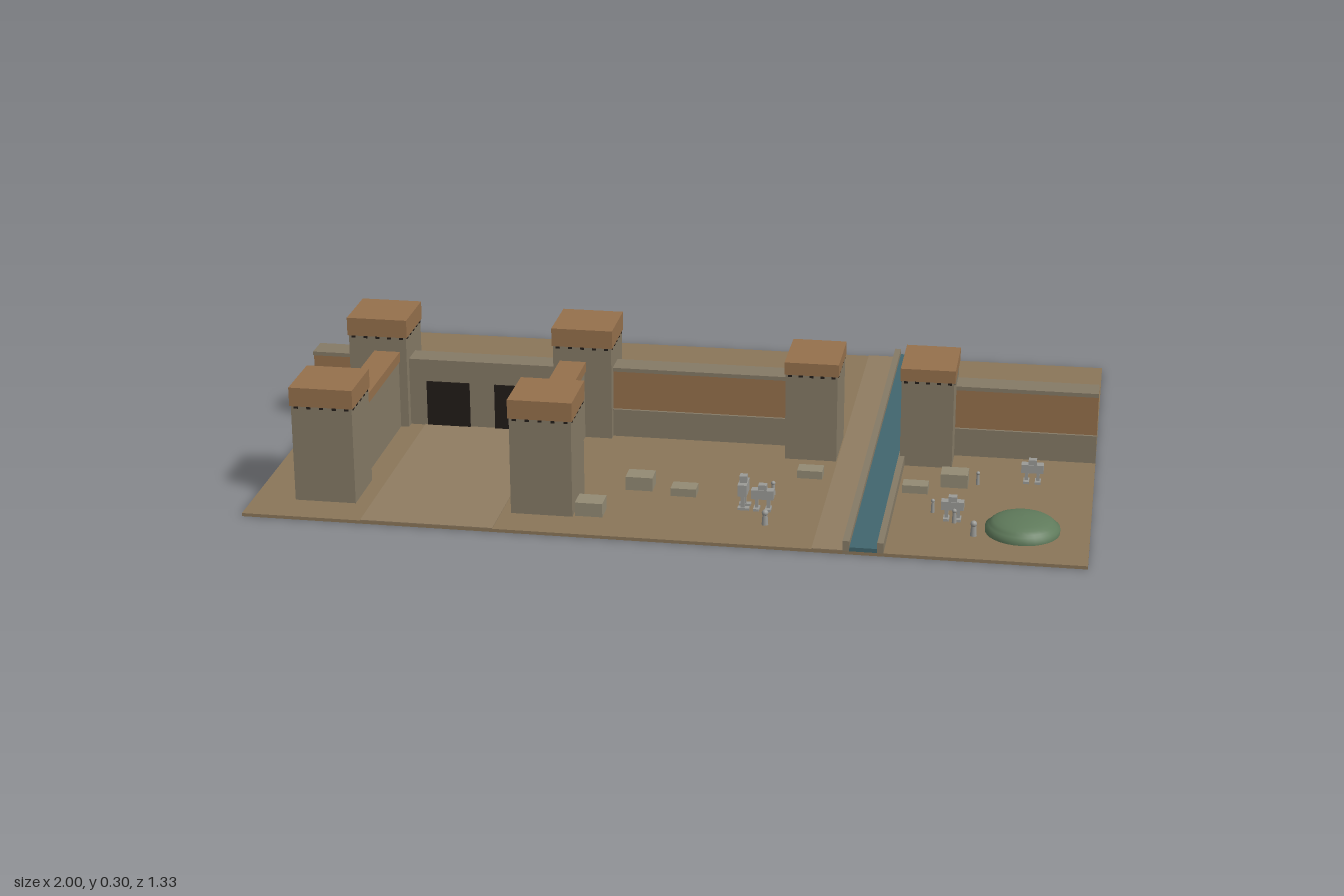
import * as THREE from 'three';

const mat = (color) => new THREE.MeshStandardMaterial({ color });
const M = {
  ground: mat(0x8a7659), path: mat(0x8f7c61), stone: mat(0x857a66), clay: mat(0x95704c),
  water: mat(0x41666e), dark: mat(0x221c18), dome: mat(0x5f7a5b), crate: mat(0x938a74), metal: mat(0x9a9a96),
};
const G = 0.008; // top of the ground slab

// Box given by its limits on each axis
function box(parent, name, m, x0, x1, y0, y1, z0, z1) {
  const mesh = new THREE.Mesh(new THREE.BoxGeometry(x1 - x0, y1 - y0, z1 - z0), m);
  mesh.position.set((x0 + x1) / 2, (y0 + y1) / 2, (z0 + z1) / 2);
  mesh.name = name;
  parent.add(mesh);
}

function group(parent, name) {
  const g = new THREE.Group();
  g.name = name;
  parent.add(g);
  return g;
}

// Square tower with a clay cap and a row of beam ends under it
function tower(parent, name, x0, x1, z0, z1, capY, top) {
  const g = group(parent, name), o = 0.003;
  box(g, 'towerBody', M.stone, x0 + o, x1 - o, 0, capY, z0 + o, z1 - o);
  box(g, 'towerCap', M.clay, x0, x1, capY, top, z0, z1);
  const n = 5, s = 0.005;
  for (let i = 0; i < n; i++) {
    const t = (i + 0.5) / n;
    const x = x0 + (x1 - x0) * t, z = z0 + (z1 - z0) * t;
    box(g, 'beamEndsAcross', M.dark, x - s, x + s, capY - 0.006, capY, z0 + 0.001, z1 - 0.001);
    box(g, 'beamEndsAlong', M.dark, x0 + 0.001, x1 - 0.001, capY - 0.006, capY, z - s, z + s);
  }
}

// Long wall: wide stone base, recessed clay face, thin stone coping
function longWall(parent, x0, x1) {
  const g = group(parent, 'longWall');
  box(g, 'wallBase', M.stone, x0, x1, 0, 0.08, -0.035, 0.032);
  box(g, 'wallFace', M.clay, x0, x1, 0.08, 0.182, -0.027, 0.025);
  box(g, 'wallCoping', M.stone, x0, x1, 0.182, 0.192, -0.035, 0.032);
}

// Small upright machine: feet, legs, body and head
function machine(parent, x, z, h, turn = 0) {
  const g = group(parent, 'machine');
  g.position.set(x, G, z);
  g.rotation.y = turn;
  for (const s of [-1, 1]) {
    box(g, 'foot', M.metal, s * 0.014 - 0.007, s * 0.014 + 0.007, 0, 0.006, -0.012, 0.016);
    box(g, 'leg', M.metal, s * 0.014 - 0.004, s * 0.014 + 0.004, 0.006, h * 0.5, -0.005, 0.005);
  }
  box(g, 'body', M.metal, -0.027, 0.027, h * 0.45, h * 0.8, -0.011, 0.011);
  box(g, 'head', M.metal, -0.01, 0.01, h * 0.8, h, -0.009, 0.009);
}

export function createModel() {
  const root = new THREE.Group();
  root.name = 'fortifiedSettlement';

  // Ground and faint paths
  box(root, 'ground', M.ground, -1, 1, 0, G, -0.665, 0.665);
  box(root, 'courtyardPath', M.path, -0.71, -0.39, G, G + 0.002, 0.03, 0.665);
  box(root, 'canalBank', M.path, 0.365, 0.437, G, G + 0.002, -0.665, 0.665);

  // Canal
  const canal = group(root, 'canal');
  box(canal, 'water', M.water, 0.453, 0.517, G, 0.018, -0.665, 0.665);
  for (const [a, b] of [[0.437, 0.453], [0.517, 0.532]]) {
    box(canal, 'curb', M.stone, a, b, 0, 0.033, -0.665, 0.665);
  }

  // Gate towers with the courtyard walls between them
  for (const x of [-0.9, -0.37]) {
    tower(root, 'gateTowerFront', x, x + 0.155, 0.412, 0.568, 0.25, 0.297);
    tower(root, 'gateTowerBack', x, x + 0.155, -0.1, 0.055, 0.25, 0.297);
  }
  for (const x of [-0.832, -0.35]) {
    const g = group(root, 'courtyardWall');
    box(g, 'wallBody', M.stone, x + 0.004, x + 0.063, 0, 0.186, 0.052, 0.415);
    box(g, 'wallCap', M.clay, x, x + 0.067, 0.186, 0.211, 0.052, 0.415);
  }

  // Gate with two dark doors showing on both faces
  const gate = group(root, 'gate');
  box(gate, 'gateWall', M.stone, -0.748, -0.367, 0, 0.186, -0.035, 0.03);
  for (const x of [-0.647, -0.47]) {
    box(gate, 'door', M.dark, x - 0.056, x + 0.056, 0.001, 0.128, -0.039, 0.034);
  }

  // Towers beside the canal and the long walls
  for (const x of [0.23, 0.517]) tower(root, 'canalTower', x, x + 0.135, -0.055, 0.122, 0.232, 0.264);
  for (const [a, b] of [[-1, -0.897], [-0.218, 0.233], [0.649, 1]]) longWall(root, a, b);

  // Shallow green dome on a rim
  const profile = [[0.088, 0], [0.088, 0.012], [0.08, 0.016]];
  for (let i = 1; i <= 6; i++) {
    const a = (i / 6) * Math.PI / 2;
    profile.push([0.08 * Math.cos(a), 0.016 + 0.024 * Math.sin(a)]);
  }
  const dome = new THREE.Mesh(
    new THREE.LatheGeometry(profile.map(([r, y]) => new THREE.Vector2(r, y)), 32), M.dome);
  dome.position.set(0.842, G, 0.485);
  dome.name = 'dome';
  root.add(dome);

  // Crates: x, z, width, depth, height
  const crates = [
    [-0.09, 0.355, 0.066, 0.052, 0.034], [0.022, 0.38, 0.062, 0.044, 0.02], [-0.18, 0.53, 0.066, 0.056, 0.034],
    [-0.855, 0.39, 0.045, 0.04, 0.034], [0.31, 0.22, 0.062, 0.044, 0.02], [0.573, 0.276, 0.062, 0.04, 0.02],
    [0.664, 0.22, 0.066, 0.052, 0.034],
  ];
  for (const [x, z, w, d, h] of crates) {
    box(root, 'crate', M.crate, x - w / 2, x + w / 2, G, G + h, z - d / 2, z + d / 2);
  }

  // Machines, one turned sideways
  machine(root, 0.222, 0.45, 0.065);
  machine(root, 0.175, 0.443, 0.083, Math.PI / 2);
  machine(root, 0.674, 0.44, 0.06);
  machine(root, 0.85, 0.178, 0.06);

  // Slim figures standing about
  for (const [x, z, r] of [[0.235, 0.355, 0.007], [0.24, 0.54, 0.01], [0.625, 0.405, 0.006],
    [0.73, 0.53, 0.01], [0.72, 0.215, 0.006], [0.68, 0.46, 0.007]]) {
    const g = group(root, 'figure');
    g.position.set(x, G, z);
    const body = new THREE.Mesh(new THREE.CylinderGeometry(r * 0.6, r * 0.8, 0.026, 8), M.metal);
    body.position.y = 0.013;
    body.name = 'figureBody';
    const head = new THREE.Mesh(new THREE.SphereGeometry(r * 0.8, 10, 8), M.metal);
    head.position.y = 0.03;
    head.name = 'figureHead';
    g.add(body, head);
  }
  return root;
}
